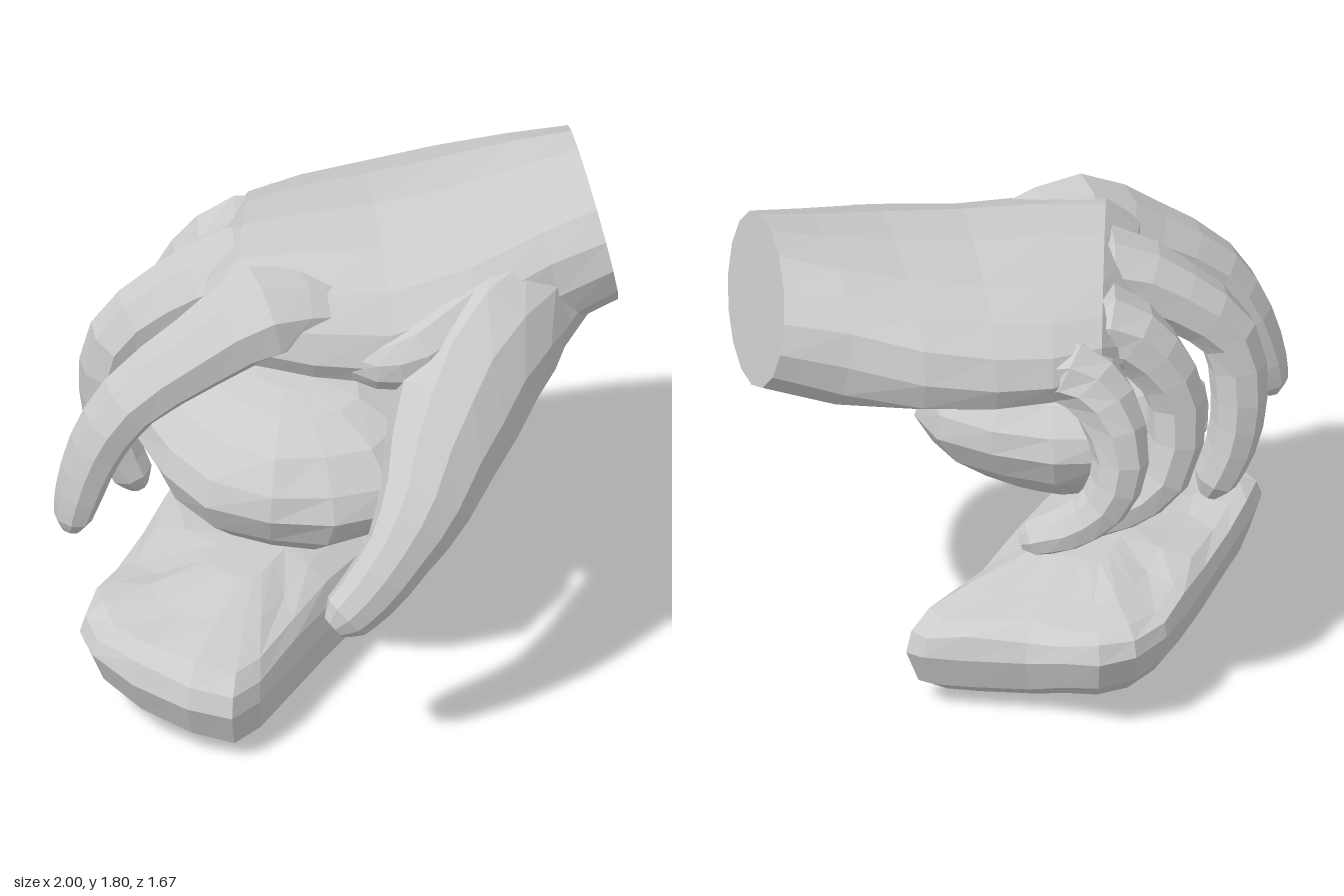
import * as THREE from 'three';

const material = new THREE.MeshStandardMaterial({ color: 0xcccccc, flatShading: true });

// Skin a list of equally sized point rings, closing both ends with a fan
function loft(name, rings) {
  const n = rings[0].length, pos = [], idx = [];
  for (const ring of rings) for (const p of ring) pos.push(p.x, p.y, p.z);
  for (let r = 0; r < rings.length - 1; r++) {
    for (let i = 0; i < n; i++) {
      const a = r * n + i, b = r * n + (i + 1) % n;
      idx.push(a, b, a + n, b, b + n, a + n);
    }
  }
  for (const r of [0, rings.length - 1]) {
    const c = new THREE.Vector3();
    rings[r].forEach((p) => c.addScaledVector(p, 1 / n));
    const k = pos.length / 3;
    pos.push(c.x, c.y, c.z);
    for (let i = 0; i < n; i++) {
      const a = r * n + i, b = r * n + (i + 1) % n;
      if (r === 0) idx.push(k, b, a); else idx.push(k, a, b);
    }
  }
  // Turn the faces outward when the enclosed volume comes out negative
  const at = (i) => new THREE.Vector3().fromArray(pos, i * 3);
  let volume = 0;
  for (let i = 0; i < idx.length; i += 3) volume += at(idx[i]).dot(at(idx[i + 1]).cross(at(idx[i + 2])));
  if (volume < 0) idx.reverse();
  const geo = new THREE.BufferGeometry();
  geo.setAttribute('position', new THREE.Float32BufferAttribute(pos, 3));
  geo.setIndex(idx);
  geo.computeVertexNormals();
  const mesh = new THREE.Mesh(geo, material);
  mesh.name = name;
  return mesh;
}

// Tapered tube through [x, y, z, radius] stations; width scales it sideways
function digit(name, stations, width = 1.15, sides = 8) {
  const curve = new THREE.CatmullRomCurve3(stations.map((s) => new THREE.Vector3(s[0], s[1], s[2])));
  const steps = (stations.length - 1) * 2, rings = [];
  for (let k = 0; k <= steps; k++) {
    const i = Math.min(Math.floor(k / 2), stations.length - 2);
    const radius = THREE.MathUtils.lerp(stations[i][3], stations[i + 1][3], k / 2 - i);
    const centre = curve.getPoint(k / steps), t = curve.getTangent(k / steps);
    const u = new THREE.Vector3(0, 0, 1).addScaledVector(t, -t.z).normalize();
    const v = t.clone().cross(u);
    rings.push(Array.from({ length: sides }, (_, j) => {
      const a = ((j + 0.5) / sides) * Math.PI * 2;
      return centre.clone().addScaledVector(u, width * radius * Math.cos(a)).addScaledVector(v, radius * Math.sin(a));
    }));
  }
  return loft(name, rings);
}

// Palm cross-sections: centre, half height, half width, dx/dz, dy/dz, dx/dy slants,
// droop of the thumb edge, depth of the hollow underneath
function palm() {
  const sections = [
    [0.935, 1.545, -0.09, 0.265, 0.375, -0.08, 0, -0.2, 0, 0],
    [0.72, 1.49, -0.11, 0.27, 0.42, -0.05, 0, -0.1, 0, 0],
    [0.45, 1.45, -0.12, 0.26, 0.51, -0.1, 0.03, 0, 0.05, 0.05],
    [0.18, 1.44, -0.14, 0.235, 0.54, -0.15, 0.08, 0, 0.13, 0.1],
    [-0.05, 1.45, -0.17, 0.21, 0.52, -0.22, 0.13, 0, 0.13, 0.1],
    [-0.27, 1.46, -0.19, 0.175, 0.46, -0.33, 0.16, 0, 0.09, 0.04],
    [-0.38, 1.42, -0.18, 0.1, 0.38, -0.4, 0.16, 0, 0.05, 0],
  ];
  return loft('palm', sections.map(([x, y, z, hy, hz, skew, roll, lean, droop, hollow], s) =>
    Array.from({ length: 16 }, (_, i) => {
      const a = (i / 16) * Math.PI * 2, power = s === 0 ? 1 : 0.85;
      const soft = (w) => Math.sign(w) * Math.abs(w) ** power;
      const side = soft(Math.cos(a)), dz = hz * side, dy = hy * soft(Math.sin(a));
      const sag = side > 0 ? droop * side * side : 0;
      const lift = dy < 0 ? hollow * (1 - side * side) : 0;
      return new THREE.Vector3(x + skew * dz + lean * dy, y + dy + roll * dz - sag + lift, z + dz);
    })));
}

// Rounded boulder held under the hand, with a slanted belt and pointed base
function boulder() {
  const levels = [[0.525, 0.03], [0.59, 0.36], [0.66, 0.64], [0.75, 0.87], [0.86, 1], [0.95, 0.96],
    [1.05, 0.79], [1.115, 0.5], [1.135, 0.22]];
  return loft('boulder', levels.map(([y, s], k) =>
    Array.from({ length: 14 }, (_, i) => {
      const a = ((i + 0.25) / 14) * Math.PI * 2;
      const wobble = s * (1 + 0.03 * Math.sin(i * 2.3 + k * 0.7));
      const z = 0.475 * wobble * Math.sin(a + 0.18);
      const shift = 0.06 * (y - 0.8);
      return new THREE.Vector3(-0.18 + shift + 0.48 * wobble * Math.cos(a), y - 0.12 * z, z - shift);
    })));
}

// Flat slab: four-cornered outline of [x, z, lift], stacked in shrinking rings
function slab() {
  const outline = [[-0.53, 0.64, 0], [-0.67, 0.57, 0.02], [-0.82, 0.42, 0.05], [-0.92, 0.26, 0.09],
    [-0.93, 0.14, 0.11], [-0.85, 0, 0.11], [-0.74, -0.14, 0.1], [-0.59, -0.34, 0.09],
    [-0.46, -0.52, 0.1], [-0.34, -0.68, 0.12], [-0.2, -0.78, 0.12], [-0.07, -0.78, 0.11],
    [0.03, -0.68, 0.08], [0.13, -0.58, 0.04], [0.33, -0.48, 0.03], [0.45, -0.42, 0.03],
    [0.48, -0.34, 0.01], [0.37, -0.24, 0], [0.18, -0.08, 0], [-0.03, 0.14, 0],
    [-0.22, 0.35, 0], [-0.41, 0.56, 0]];
  const levels = [[0.005, 0.5, 0.05], [0.03, 0.84, 0.9], [0.07, 0.93, 1.1], [0.2, 1, 1],
    [0.28, 0.97, 0.8], [0.335, 0.87, 0.45], [0.375, 0.62, 0.15], [0.42, 0.3, 0]];
  return loft('slab', levels.map(([y, s, lift], k) => outline.map(([x, z, up], i) => {
    const bump = k > 3 && k < 7 ? 0.012 * Math.sin(i * 2.1 + k) : 0;
    return new THREE.Vector3(-0.23 + (x + 0.23) * s, y + up * lift + bump, -0.08 + (z + 0.08) * s);
  })));
}

export function createModel() {
  const model = new THREE.Group();
  const hand = new THREE.Group();
  hand.name = 'hand';
  hand.add(
    palm(),
    digit('thumb', [[0.72, 1.45, 0.06, 0.23], [0.5, 1.36, 0.24, 0.265], [0.31, 1.17, 0.43, 0.24],
      [0.15, 0.96, 0.63, 0.17], [0.03, 0.825, 0.72, 0.125], [-0.08, 0.7, 0.745, 0.11],
      [-0.16, 0.63, 0.755, 0.095], [-0.205, 0.595, 0.76, 0.05]], 0.85, 10),
    digit('thumbWeb', [[0.6, 1.47, 0.12, 0.18], [0.4, 1.43, 0.23, 0.17], [0.2, 1.37, 0.31, 0.14],
      [0.06, 1.35, 0.31, 0.1], [-0.06, 1.38, 0.27, 0.06]], 1, 10),
    digit('indexFinger', [[-0.05, 1.47, 0.14, 0.13], [-0.29, 1.495, 0.15, 0.16], [-0.52, 1.385, 0.16, 0.13],
      [-0.76, 1.22, 0.15, 0.108], [-0.87, 1.04, 0.13, 0.095], [-0.93, 0.86, 0.125, 0.08],
      [-0.95, 0.77, 0.125, 0.065], [-0.955, 0.725, 0.125, 0.035]]),
    digit('middleFinger', [[-0.05, 1.45, -0.12, 0.13], [-0.29, 1.48, -0.15, 0.15], [-0.52, 1.37, -0.21, 0.12],
      [-0.69, 1.21, -0.25, 0.105], [-0.72, 0.98, -0.28, 0.095], [-0.69, 0.79, -0.28, 0.085],
      [-0.64, 0.66, -0.265, 0.075], [-0.615, 0.6, -0.26, 0.035]]),
    digit('ringFinger', [[0, 1.42, -0.37, 0.12], [-0.2, 1.44, -0.42, 0.135], [-0.35, 1.32, -0.47, 0.115],
      [-0.43, 1.14, -0.5, 0.1], [-0.38, 0.87, -0.52, 0.09], [-0.24, 0.74, -0.48, 0.08],
      [-0.09, 0.68, -0.43, 0.065], [-0.04, 0.66, -0.41, 0.035]]),
    digit('littleFinger', [[0.12, 1.39, -0.5, 0.11], [-0.03, 1.38, -0.57, 0.125], [-0.13, 1.27, -0.65, 0.115],
      [-0.16, 1.08, -0.73, 0.095], [-0.1, 0.92, -0.73, 0.085], [0.02, 0.82, -0.69, 0.075],
      [0.13, 0.78, -0.65, 0.06], [0.165, 0.765, -0.64, 0.03]]),
  );
  model.add(hand, boulder(), slab());
  return model;
}
